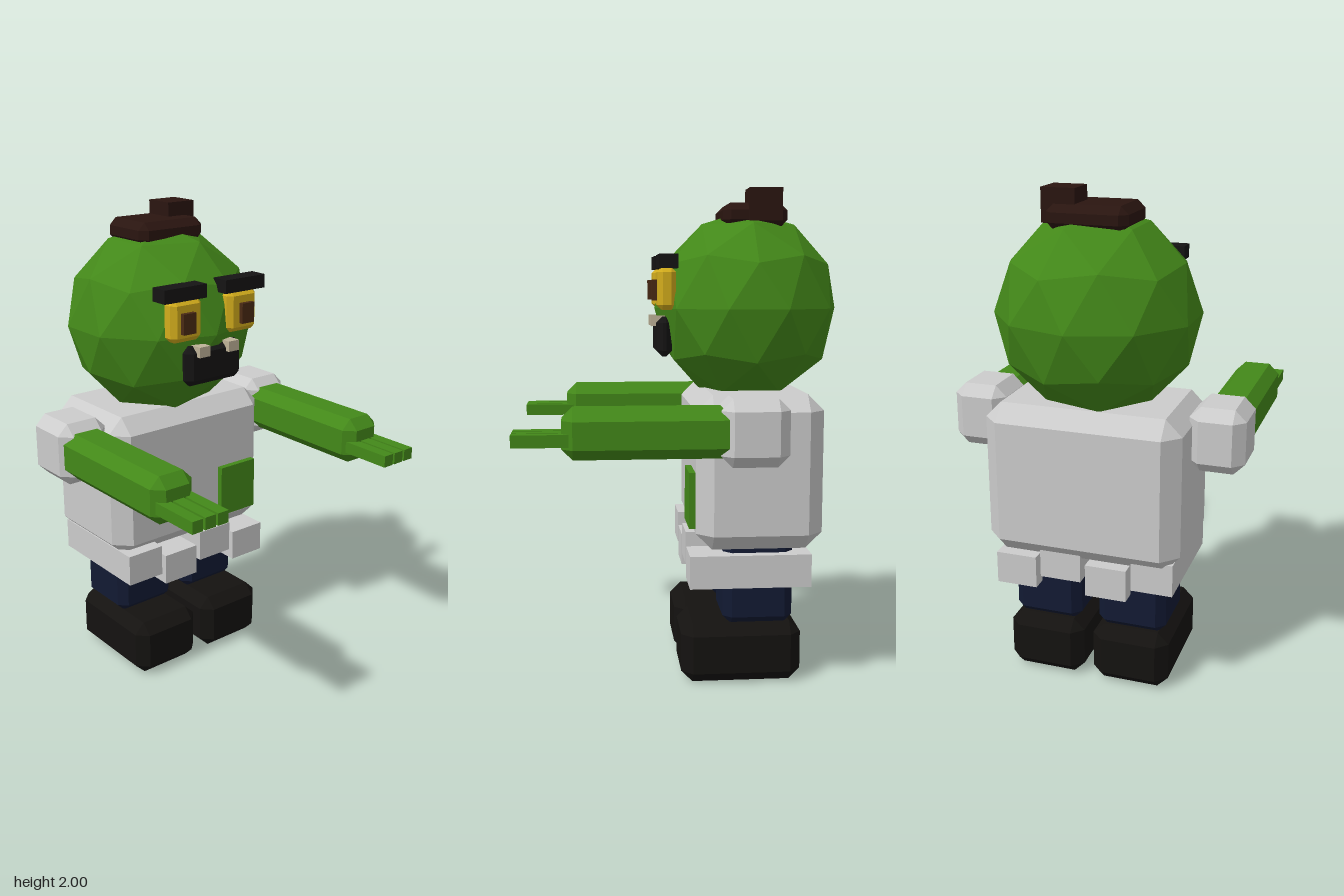
import * as THREE from 'three';
import { ConvexGeometry } from 'three/addons/geometries/ConvexGeometry.js';

const mat = (color) => new THREE.MeshStandardMaterial({ color, flatShading: true });

// Box with chamfered edges and corners
function chamferBox(w, h, d, c) {
  const pts = [];
  for (const sx of [-1, 1]) for (const sy of [-1, 1]) for (const sz of [-1, 1]) {
    for (let full = 0; full < 3; full++) {
      const [x, y, z] = [w, h, d].map((s, i) => s / 2 - (i === full ? 0 : c));
      pts.push(new THREE.Vector3(sx * x, sy * y, sz * z));
    }
  }
  return new ConvexGeometry(pts);
}

export function createModel() {
  const root = new THREE.Group();
  root.name = 'blockyZombie';

  const skin = mat(0x438819);
  const cloth = mat(0xcccccc);
  const hair = mat(0x2a1510);
  const black = mat(0x151414);
  const shoe = mat(0x141210);
  const trousers = mat(0x121a33);
  const yellow = mat(0xd2ac1c);
  const brown = mat(0x4a2a14);
  const bone = mat(0xbeb298);

  const group = (name) => {
    const g = new THREE.Group();
    g.name = name;
    root.add(g);
    return g;
  };

  // Block spanning [min, max] on each axis; chamfer 0 gives sharp edges
  function block(parent, name, material, [x0, x1], [y0, y1], [z0, z1], chamfer = 0) {
    const size = [x1 - x0, y1 - y0, z1 - z0];
    const geo = chamfer ? chamferBox(...size, chamfer) : new THREE.BoxGeometry(...size);
    const mesh = new THREE.Mesh(geo, material);
    mesh.name = name;
    mesh.position.set((x0 + x1) / 2, (y0 + y1) / 2, (z0 + z1) / 2);
    parent.add(mesh);
  }
  const span = (centre, width) => [centre - width / 2, centre + width / 2];

  // Head: faceted ball with a vertex turned straight up
  const head = group('head');
  const ball = new THREE.IcosahedronGeometry(1, 1);
  ball.rotateZ(-Math.atan(2 / (1 + Math.sqrt(5))));
  ball.scale(0.405, 0.4, 0.383);
  const skull = new THREE.Mesh(ball, skin);
  skull.name = 'skull';
  skull.position.set(0, 1.52, -0.282);
  head.add(skull);

  // Hair
  block(head, 'hair', hair, [-0.16, 0.16], [1.845, 1.943], [-0.433, -0.17], 0.03);
  block(head, 'hairTuft', hair, [0.045, 0.178], [1.87, 2], [-0.405, -0.272]);

  // Face
  block(head, 'mouth', black, [-0.143, 0.143], [1.323, 1.487], [0.035, 0.1], 0.026);
  for (const s of [-1, 1]) {
    const side = s > 0 ? 'left' : 'right';
    block(head, side + 'Brow', black, span(s * 0.152, 0.207), [1.68, 1.735], [0.02, 0.097]);
    block(head, side + 'Eye', yellow, span(s * 0.143, 0.15), [1.515, 1.685], [0.025, 0.1], 0.02);
    block(head, side + 'Pupil', brown, span(s * 0.15, 0.062), [1.552, 1.635], [0.06, 0.12]);
    block(head, side + 'Tooth', bone, span(s * 0.075, 0.053), [1.447, 1.49], [0.06, 0.12]);
  }

  // Shirt with a patch and a ragged hem
  const shirt = group('shirt');
  block(shirt, 'torso', cloth, [-0.397, 0.397], [0.563, 1.187], [-0.553, -0.042], 0.066);
  block(shirt, 'patch', skin, [0.13, 0.32], [0.647, 0.874], [-0.07, -0.016]);
  for (let i = 0; i < 4; i++) {
    const y = i % 2 ? 0.477 : 0.532;
    block(shirt, 'hemFlap', cloth, span(-0.288 + i * 0.19, 0.17), span(y, 0.134), [-0.507, -0.016]);
  }

  for (const s of [-1, 1]) {
    const side = s > 0 ? 'left' : 'right';

    // Arm stretched forward, with sleeve and three fingers
    const arm = group(side + 'Arm');
    block(arm, 'sleeve', cloth, span(s * 0.492, 0.223), [0.935, 1.195], [-0.375, -0.113], 0.045);
    block(arm, 'forearm', skin, span(s * 0.493, 0.19), [0.97, 1.16], [-0.2, 0.48], 0.042);
    for (const k of [-1, 0, 1]) {
      block(arm, 'finger', skin, span(s * 0.492 + k * 0.058, 0.048), [1.022, 1.07], [0.44, 0.665]);
    }

    // Leg and shoe
    const leg = group(side + 'Leg');
    block(leg, 'trouserLeg', trousers, span(s * 0.18, 0.285), [0.24, 0.62], [-0.442, -0.157], 0.035);
    block(leg, 'shoe', shoe, span(s * 0.181, 0.322), [0, 0.248], [-0.478, 0.013], 0.046);
  }

  return root;
}
